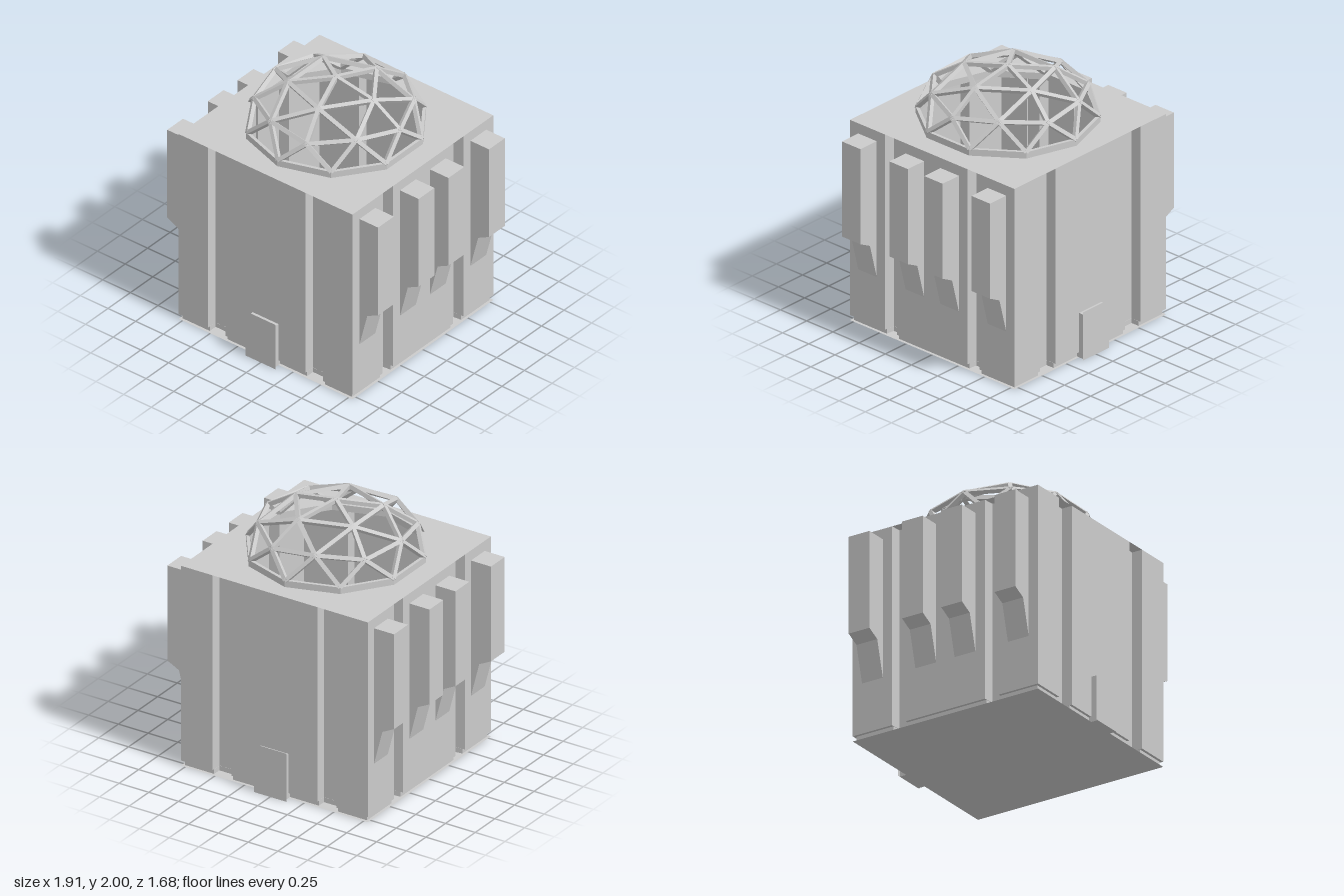
import * as THREE from 'three';

const HALF = 0.785, GROOVE = 0.70, ROOF = 1.58, PLINTH = 0.04;
const RADIUS = 0.655, SPRING = 1.63, RISE = 0.37;

const solid = new THREE.MeshStandardMaterial({ color: 0xcccccc, flatShading: true });
const thin = new THREE.MeshStandardMaterial({ color: 0xcccccc, flatShading: true, side: THREE.DoubleSide });

// Square plan with two vertical grooves per side, counter-clockwise
function plan(h) {
  const pts = [];
  for (let k = 0; k < 4; k++) {
    const [a, b, s] = k % 2 ? [0.36, 0.52, 0] : [0.335, 0.452, 0.007];
    const side = [
      [h, -h], [h, -b], [GROOVE, -b + s], [GROOVE, -a - s], [h, -a],
      [h, a], [GROOVE, a + s], [GROOVE, b - s], [h, b],
    ];
    for (const [n, t] of side) {
      pts.push(new THREE.Vector2(n, t).rotateAround(new THREE.Vector2(), k * Math.PI / 2));
    }
  }
  return pts;
}

const polar = (r, deg, y) => {
  const t = THREE.MathUtils.degToRad(deg);
  return new THREE.Vector3(r * Math.cos(t), y, r * Math.sin(t));
};

const decagon = (r) => Array.from({ length: 10 }, (_, i) => {
  const p = polar(r, 18 + 36 * i, 0);
  return new THREE.Vector2(p.x, p.z);
});

// Open vertical wall that follows a plan
function wallBand(pts, y0, y1) {
  const pos = [];
  pts.forEach((p, i) => {
    const q = pts[(i + 1) % pts.length];
    pos.push(p.x, y0, -p.y, q.x, y0, -q.y, q.x, y1, -q.y);
    pos.push(p.x, y0, -p.y, q.x, y1, -q.y, p.x, y1, -p.y);
  });
  const geo = new THREE.BufferGeometry();
  geo.setAttribute('position', new THREE.Float32BufferAttribute(pos, 3));
  geo.computeVertexNormals();
  return geo;
}

const flat = (shape, y) => new THREE.ShapeGeometry(shape).rotateX(-Math.PI / 2).translate(0, y, 0);
const slab = (shape, y, height) => new THREE.ExtrudeGeometry(shape, { depth: height, bevelEnabled: false })
  .rotateX(-Math.PI / 2).translate(0, y, 0);

function add(parent, name, geometry, material = solid) {
  const mesh = new THREE.Mesh(geometry, material);
  mesh.name = name;
  parent.add(mesh);
  return mesh;
}

// Square bar between two dome nodes, its outer face on the dome surface
function strut(parent, a, b) {
  const size = 0.03;
  const along = b.clone().sub(a);
  const length = along.length();
  along.normalize();
  const mid = a.clone().add(b).multiplyScalar(0.5);
  const out = mid.clone().sub(new THREE.Vector3(0, SPRING - 0.25, 0));
  out.addScaledVector(along, -out.dot(along)).normalize();
  const across = new THREE.Vector3().crossVectors(along, out);
  const mesh = add(parent, 'domeStrut', new THREE.BoxGeometry(size, length, size));
  mesh.quaternion.setFromRotationMatrix(new THREE.Matrix4().makeBasis(across, along, out));
  mesh.position.copy(mid).addScaledVector(out, -size / 2);
}

function createDome() {
  const dome = new THREE.Group();
  dome.name = 'dome';

  // Ring the dome stands on
  const ring = new THREE.Shape(decagon(RADIUS));
  ring.holes.push(new THREE.Path(decagon(RADIUS - 0.025)));
  add(dome, 'domeRing', slab(ring, ROOF, SPRING - ROOF));

  // Nodes of a two-frequency geodesic half sphere, flattened in height
  const node = (s, c, deg) => polar(RADIUS * s, deg, SPRING + RISE * c);
  const top = node(0, 1, 0);
  for (let i = 0; i < 5; i++) {
    const t = 72 * i;
    const upper = node(0.526, 0.851, t);
    const lower = node(0.894, 0.447, t);
    strut(dome, top, upper);
    strut(dome, upper, node(0.526, 0.851, t + 72));
    strut(dome, upper, lower);
    for (const d of [-1, 1]) {
      const between = node(0.851, 0.526, t + 36 * d);
      const foot = node(1, 0, t + 18 * d);
      strut(dome, upper, between);
      strut(dome, lower, between);
      strut(dome, lower, foot);
      strut(dome, between, foot);
    }
  }
  return dome;
}

export function createModel() {
  const model = new THREE.Group();
  model.name = 'domedBuilding';

  // Base sheet, recessed plinth and floor
  add(model, 'baseSheet', new THREE.PlaneGeometry(2 * HALF, 2 * HALF).rotateX(Math.PI / 2), thin);
  add(model, 'plinth', slab(new THREE.Shape(plan(HALF - 0.02)), 0.001, PLINTH - 0.002));
  add(model, 'floor', flat(new THREE.Shape(plan(HALF)), PLINTH), thin);

  // Grooved walls
  add(model, 'walls', wallBand(plan(HALF), PLINTH, ROOF), thin);

  // Roof, open under the dome
  const roof = new THREE.Shape([[-1, -1], [1, -1], [1, 1], [-1, 1]]
    .map(([x, y]) => new THREE.Vector2(x * HALF, y * HALF)));
  roof.holes.push(new THREE.Path(decagon(RADIUS - 0.01)));
  add(model, 'roof', flat(roof, ROOF), thin);

  // Four buttresses on each side
  const profile = new THREE.Shape([[0.77, 0.37], [0.855, 0.70], [0.953, 0.75], [0.953, 1.5], [0.77, 1.5]]
    .map(([x, y]) => new THREE.Vector2(x, y)));
  const width = 0.176;
  const buttress = new THREE.ExtrudeGeometry(profile, { depth: width, bevelEnabled: false })
    .translate(0, 0, -width / 2);
  for (const turn of [0, Math.PI]) {
    const row = new THREE.Group();
    row.name = turn ? 'rightButtresses' : 'leftButtresses';
    row.rotation.y = turn;
    for (const z of [-0.618, -0.166, 0.166, 0.618]) add(row, 'buttress', buttress).position.z = z;
    model.add(row);
  }

  // Front and back doors: a block with a wider panel on its face
  for (const turn of [0, Math.PI]) {
    const door = new THREE.Group();
    door.name = turn ? 'backDoor' : 'frontDoor';
    door.rotation.y = turn;
    add(door, 'doorBlock', new THREE.BoxGeometry(0.232, 0.35, 0.08).translate(0, 0.175, 0.798));
    add(door, 'doorPanel', new THREE.PlaneGeometry(0.272, 0.38).translate(0, 0.19, 0.84), thin);
    model.add(door);
  }

  model.add(createDome());
  return model;
}
